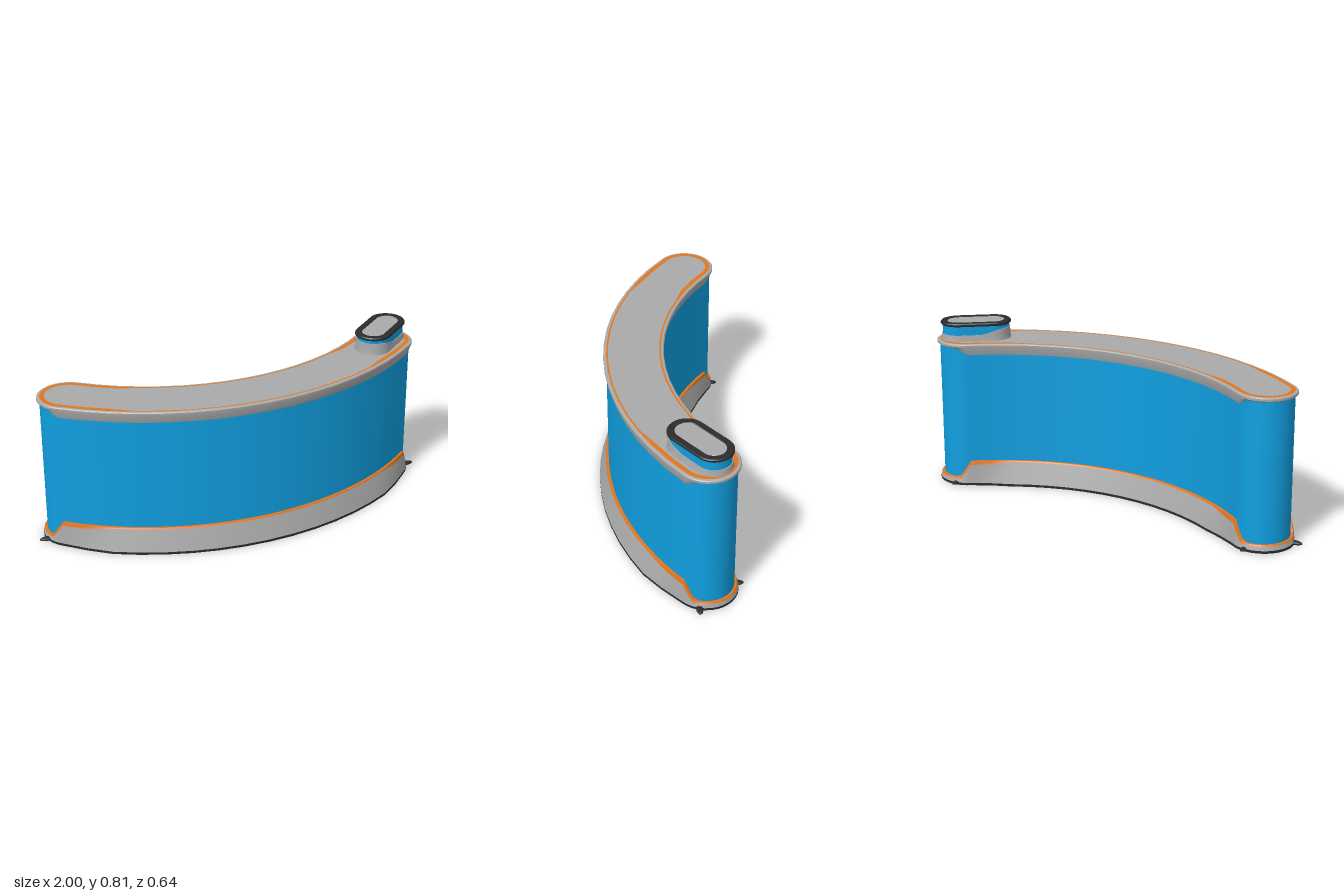
import * as THREE from 'three';
import { toCreasedNormals } from 'three/addons/utils/BufferGeometryUtils.js';

const mat = (name, color) => Object.assign(new THREE.MeshStandardMaterial({ color }), { name });
const clamp = THREE.MathUtils.clamp;
const mix = THREE.MathUtils.lerp;

// Curved spine of the counter: radius, half angle, arc centre, half width
const R = 1.297, A = 0.679, ZC = -1.154, W = 0.128;
const arcSpine = t => [R * Math.sin(A * t), ZC + R * Math.cos(A * t), A * t];
// Straight tilted spine of the oval riser
const riserSpine = t => [0.7775 + 0.083 * Math.cos(A) * t, -0.113 - 0.083 * Math.sin(A) * t, A];

// Round-ended outline about a spine, from the left tip along the front to the
// right tip and back. Point i lies across from point N - i.
function outline(spine, arcSteps = 16, capSteps = 8) {
  const pts = [];
  const add = (t, turn, d) => {
    const [x, z, th] = spine(t);
    pts.push({ x, z, nx: Math.sin(th + turn), nz: Math.cos(th + turn), t, d });
  };
  const q = Math.PI / 2;
  for (let k = 0; k <= capSteps; k++) add(-1, -q + q * k / capSteps, 1 - k / capSteps);
  for (let k = 1; k < arcSteps; k++) add(-1 + 2 * k / arcSteps, 0, 0);
  for (let k = 0; k <= 2 * capSteps; k++) add(1, q * k / capSteps, 1 - Math.abs(1 - k / capSteps));
  for (let k = 1; k < arcSteps; k++) add(1 - 2 * k / arcSteps, Math.PI, 0);
  for (let k = 0; k < capSteps; k++) add(-1, Math.PI + q * k / capSteps, k / capSteps);
  return pts;
}

// Sweep a profile of [distance from spine, height], listed upwards, around an outline
function loft(pts, profile, { top = false, bottom = false } = {}) {
  const n = pts.length, pos = [], idx = [];
  const rings = profile(pts[0]).length;
  for (let j = 0; j < rings; j++) {
    for (const p of pts) {
      const [r, y] = profile(p)[j];
      pos.push(p.x + p.nx * r, y, p.z + p.nz * r);
    }
  }
  for (let j = 0; j < rings - 1; j++) {
    for (let i = 0; i < n; i++) {
      const a = j * n + i, b = j * n + (i + 1) % n;
      idx.push(a, b, b + n, a, b + n, a + n);
    }
  }
  const cap = (o, up) => {
    for (let i = 0; i < n / 2; i++) {
      const a = o + i, b = o + i + 1, c = o + n - i - 1, d = o + (n - i) % n;
      const tris = [[a, b, c]];
      if (i > 0) tris.push([a, c, d]);
      for (const [u, v, w] of tris) idx.push(...(up ? [u, v, w] : [u, w, v]));
    }
  };
  if (bottom) cap(0, false);
  if (top) cap((rings - 1) * n, true);
  const g = new THREE.BufferGeometry();
  g.setAttribute('position', new THREE.Float32BufferAttribute(pos, 3));
  g.setIndex(idx);
  return toCreasedNormals(g, 0.6);
}

export function createModel() {
  const blue = mat('panelBlue', 0x109fe0);
  const grey = mat('shellGrey', 0xaaaaaa);
  const orange = mat('trimOrange', 0xe0761e);
  const black = mat('rubberBlack', 0x2a2c2e);

  const group = new THREE.Group();
  const add = (name, geometry, material, parent = group) => {
    const mesh = new THREE.Mesh(geometry, material);
    mesh.name = name;
    parent.add(mesh);
    return mesh;
  };

  const body = outline(arcSpine, 32, 12);
  const shell = outline(arcSpine);

  // Shared rules: step near the round ends, flare along the middle
  const drop = p => clamp(p.d * 90 / 26, 0, 1);
  const flare = p => clamp((1 - Math.abs(p.t)) * 4, 0, 1);
  const baseTop = p => mix(0.123, 0.037, drop(p));
  const baseTrim = p => baseTop(p) - (Math.abs(p.t) > 0.86 && drop(p) < 1 ? 0.018 : 0.006);
  const foot = p => W + mix(0.02, 0.047, flare(p));

  // Upright blue wall
  add('wall', loft(body, () => [[W, 0.02], [W, 0.71]]), blue);

  // Base: rubber foot, sloping skirt and orange edge
  add('foot', loft(shell, p => [[foot(p), 0], [foot(p), 0.012]], { bottom: true }), black);
  add('skirt', loft(shell, p => [
    [foot(p), 0.012], [W + 0.015, baseTrim(p)],
  ]), grey);
  add('skirtTrim', loft(shell, p => [
    [W + 0.015, baseTrim(p)], [W + 0.011, baseTop(p)], [W - 0.012, baseTop(p)],
  ]), orange);

  // Small pegs at the ends of the foot
  for (const s of [-1, 1]) {
    for (const [x, z, rx, rz] of [[0.955, -0.108, 0.045, 0.017], [0.798, -0.275, 0.017, 0.045]]) {
      const peg = add('peg', new THREE.SphereGeometry(1, 12, 8), black);
      peg.scale.set(rx, 0.01, rz);
      peg.position.set(s * x, 0.01, z);
    }
  }

  // Counter top: rim with a shallower lip at the ends, inlaid trim and surface
  const trimWidth = p => (Math.abs(p.t) > 0.7 ? 0.022 : 0.008);
  add('topRim', loft(shell, p => {
    const y = mix(0.666, 0.699, drop(p));
    return [[W - 0.012, y], [W + 0.002, y], [W + 0.014, 0.706],
      [W + 0.014, 0.716], [W + 0.01, 0.72], [W, 0.721]];
  }), grey);
  add('topTrim', loft(shell, p => [[W, 0.721], [W - trimWidth(p), 0.721]]), orange);
  add('topSurface', loft(shell, p => [
    [W - trimWidth(p), 0.721], [W - 0.024, 0.721],
  ], { top: true }), grey);

  // Oval riser on the left end
  const riser = new THREE.Group();
  riser.name = 'riser';
  group.add(riser);
  const oval = outline(riserSpine, 8, 12);
  const along = p => p.t * 0.083 + 0.083 * (p.nx * Math.cos(A) - p.nz * Math.sin(A));
  const collarTop = p => 0.75 + 0.028 * THREE.MathUtils.smoothstep(-along(p), 0.01, 0.14);
  add('riserCollar', loft(oval, p => [
    [0.088, 0.718], [0.085, 0.735], [0.083, collarTop(p)], [0.077, collarTop(p)],
  ]), grey, riser);
  add('riserBand', loft(oval, () => [[0.079, 0.735], [0.079, 0.797]]), blue, riser);
  add('riserRing', loft(oval, () => [
    [0.075, 0.794], [0.084, 0.794], [0.088, 0.798], [0.088, 0.805],
    [0.084, 0.81], [0.058, 0.81], [0.054, 0.807],
  ]), black, riser);
  add('riserTop', loft(oval, () => [[0.056, 0.806], [0.054, 0.808]], { top: true }), grey, riser);

  return group;
}
